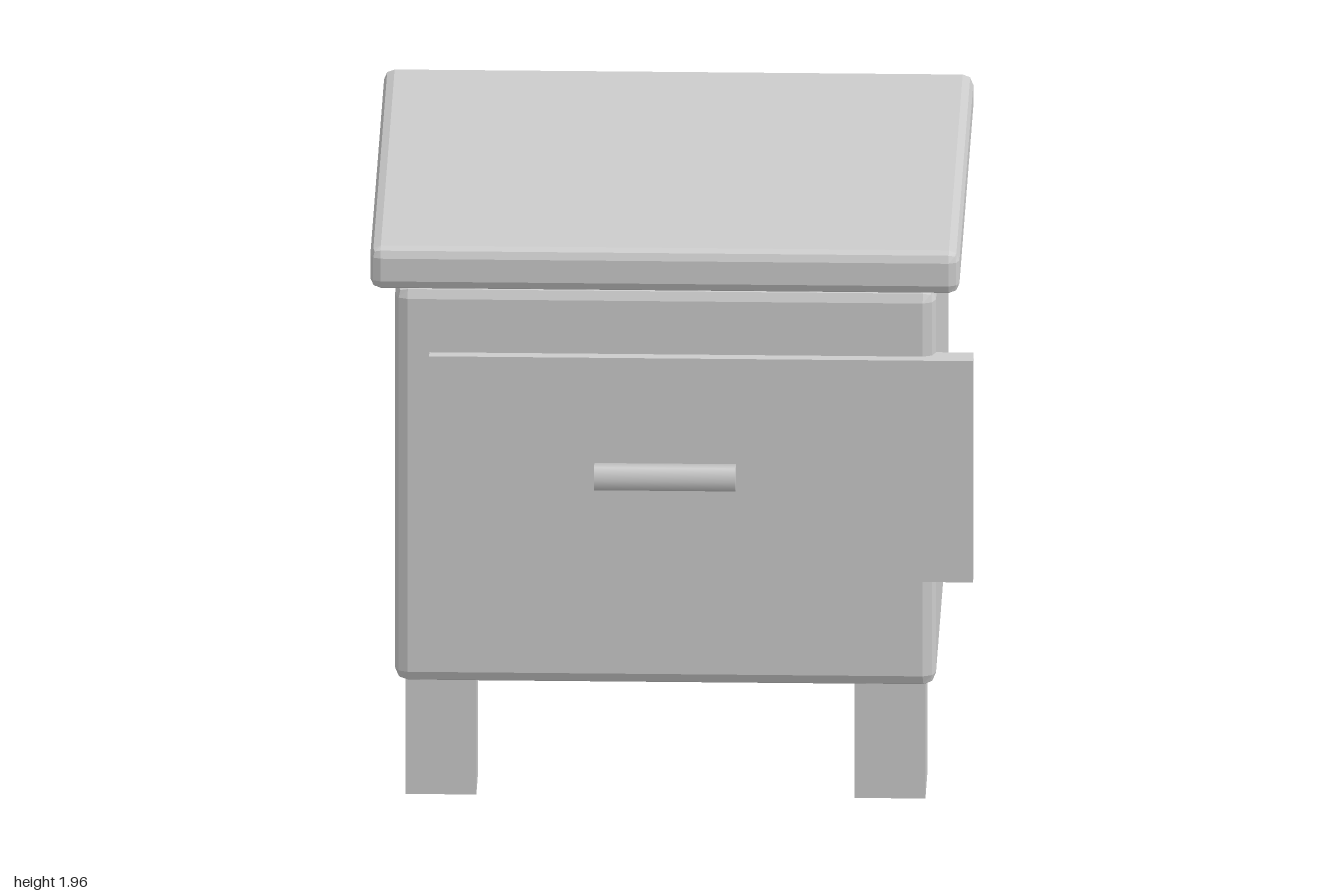
import * as THREE from 'three';
import { RoundedBoxGeometry } from 'three/addons/geometries/RoundedBoxGeometry.js';

export function createModel() {
  const group = new THREE.Group();
  group.name = 'nightstand';

  const grey = new THREE.MeshStandardMaterial({ color: 0xcccccc });
  grey.name = 'light grey';

  // Add a mesh spanning the given [min, max] ranges; bevel > 0 gives faceted rounded edges
  function addBox(name, [x0, x1], [y0, y1], [z0, z1], bevel = 0) {
    const size = [x1 - x0, y1 - y0, z1 - z0];
    const geometry = bevel
      ? new RoundedBoxGeometry(...size, 1, bevel)
      : new THREE.BoxGeometry(...size);
    if (bevel) geometry.computeVertexNormals(); // flat facets
    const mesh = new THREE.Mesh(geometry, grey);
    mesh.name = name;
    mesh.position.set((x0 + x1) / 2, (y0 + y1) / 2, (z0 + z1) / 2);
    group.add(mesh);
  }

  // Cabinet and overhanging top
  addBox('cabinetBody', [-0.92, 0.875], [0.4, 1.8], [-0.86, 0.78], 0.043);
  addBox('tableTop', [-1, 0.955], [1.81, 1.96], [-0.94, 0.855], 0.035);

  // Drawer front, offset towards the model's left
  addBox('drawerFront', [-0.805, 1], [0.79, 1.57], [0.735, 0.82]);

  // Four square legs
  for (const [xSide, x] of [['Right', [-0.885, -0.65]], ['Left', [0.605, 0.84]]]) {
    for (const [zSide, z] of [['front', [0.51, 0.745]], ['back', [-0.825, -0.59]]]) {
      addBox(`${zSide}${xSide}Leg`, x, [0, 0.41], z);
    }
  }

  // Six-sided bar handle, floating just ahead of the drawer
  const handle = new THREE.Mesh(new THREE.CylinderGeometry(0.046, 0.046, 0.47, 6), grey);
  handle.name = 'drawerHandle';
  handle.rotation.z = Math.PI / 2;
  handle.position.set(-0.02, 1.18, 0.9);
  group.add(handle);

  return group;
}
